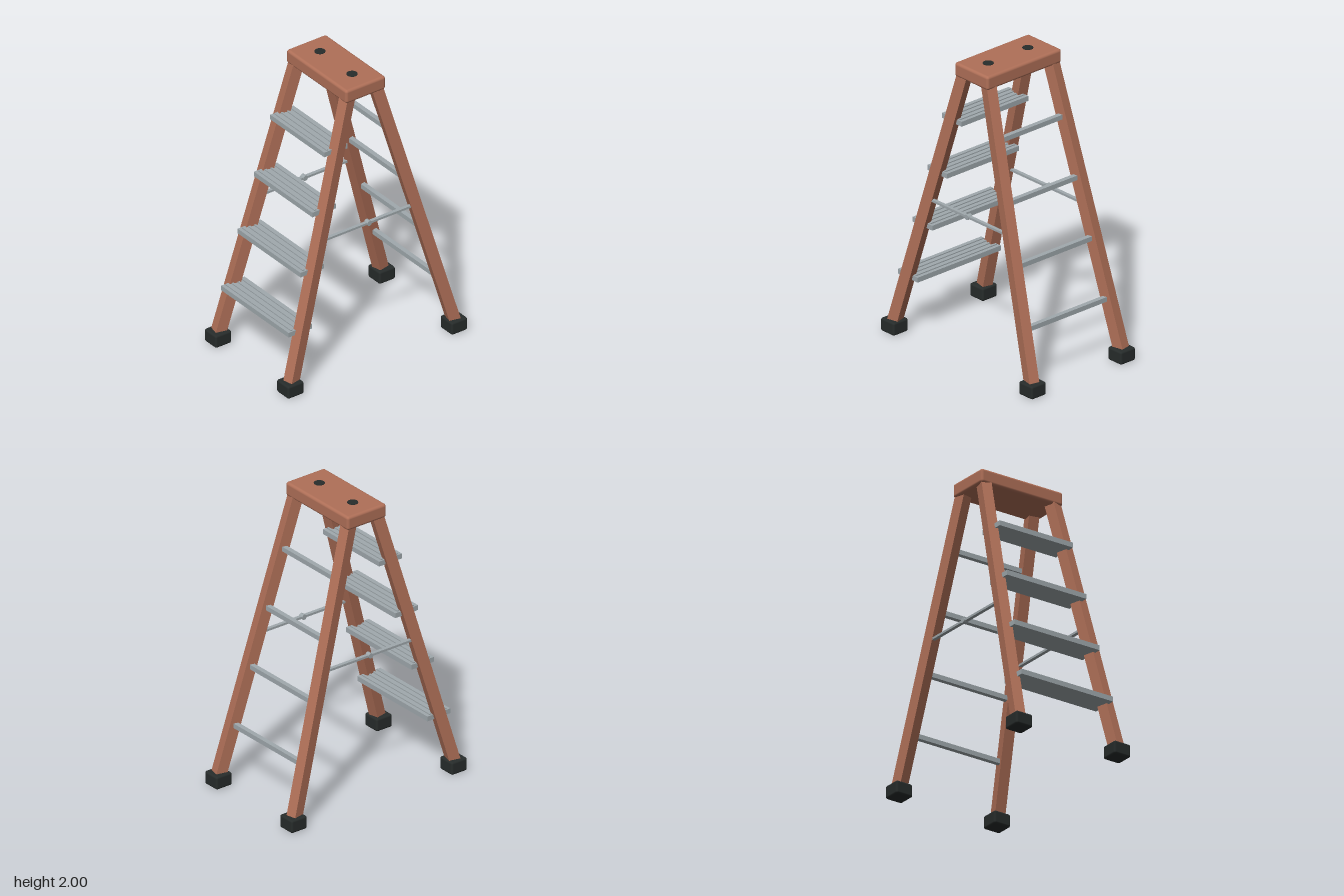
import * as THREE from 'three';
import { RoundedBoxGeometry } from 'three/addons/geometries/RoundedBoxGeometry.js';

const wood = new THREE.MeshStandardMaterial({ color: 0xb07058 });
const metal = new THREE.MeshStandardMaterial({ color: 0xa0a9ad });
const rubber = new THREE.MeshStandardMaterial({ color: 0x272c2b });

export function createModel() {
  const model = new THREE.Group();
  model.name = 'stepladder';

  function add(parent, name, geometry, material, x = 0, y = 0, z = 0) {
    const mesh = new THREE.Mesh(geometry, material);
    mesh.name = name;
    mesh.position.set(x, y, z);
    parent.add(mesh);
    return mesh;
  }

  // Top platform with two round inserts
  add(model, 'topPlatform', new RoundedBoxGeometry(0.63, 0.095, 0.31, 3, 0.018), wood, 0, 1.9515, 0);
  for (const s of [-1, 1]) {
    add(model, 'topInsert', new THREE.CylinderGeometry(0.035, 0.035, 0.012, 24), rubber, s * 0.168, 1.996, 0);
  }

  // Splayed legs, each turned to follow its own lean, standing in rubber feet
  for (const sx of [-1, 1]) {
    for (const sz of [-1, 1]) {
      const bottom = new THREE.Vector3(sx * 0.381, 0.05, sz * 0.639);
      const top = new THREE.Vector3(sx * 0.264, 1.93, sz * 0.106);
      const name = (sz > 0 ? 'front' : 'back') + (sx > 0 ? 'Left' : 'Right');
      const leg = add(model, name + 'Leg',
        new THREE.BoxGeometry(0.07, 0.075, bottom.distanceTo(top)), wood);
      leg.position.addVectors(bottom, top).multiplyScalar(0.5);
      leg.lookAt(top);
      add(model, name + 'Foot', new RoundedBoxGeometry(0.125, 0.09, 0.125, 2, 0.014), rubber,
        sx * 0.378, 0.045, sz * 0.638);
    }
  }

  // Ribbed treads in front, plain rungs behind at the same heights
  for (let i = 0; i < 4; i++) {
    const y = 0.405 + i * 0.389;
    const z = 0.541 - i * 0.11;
    const width = 0.705 - i * 0.0465;
    const tread = new THREE.Group();
    tread.name = 'tread' + (i + 1);
    tread.position.set(0, y, z);
    add(tread, 'treadBoard', new THREE.BoxGeometry(width, 0.034, 0.182), metal);
    for (let k = 0; k < 4; k++) {
      add(tread, 'gripRib', new THREE.BoxGeometry(width - 0.02, 0.008, 0.014), metal,
        0, 0.02, -0.06 + k * 0.04);
    }
    model.add(tread);
    add(model, 'backRung' + (i + 1), new THREE.BoxGeometry(width - 0.02, 0.032, 0.032), metal, 0, y, -z);
  }

  // Spreader bars with a central hinge on each side
  for (const s of [-1, 1]) {
    const spreader = new THREE.Group();
    spreader.name = s > 0 ? 'leftSpreader' : 'rightSpreader';
    spreader.position.set(s * 0.335, 0.993, 0);
    add(spreader, 'spreaderBar', new THREE.BoxGeometry(0.024, 0.015, 0.72), metal);
    const hinge = add(spreader, 'spreaderHinge', new THREE.CylinderGeometry(0.018, 0.018, 0.034, 16), metal);
    hinge.rotation.z = Math.PI / 2;
    model.add(spreader);
  }

  return model;
}
